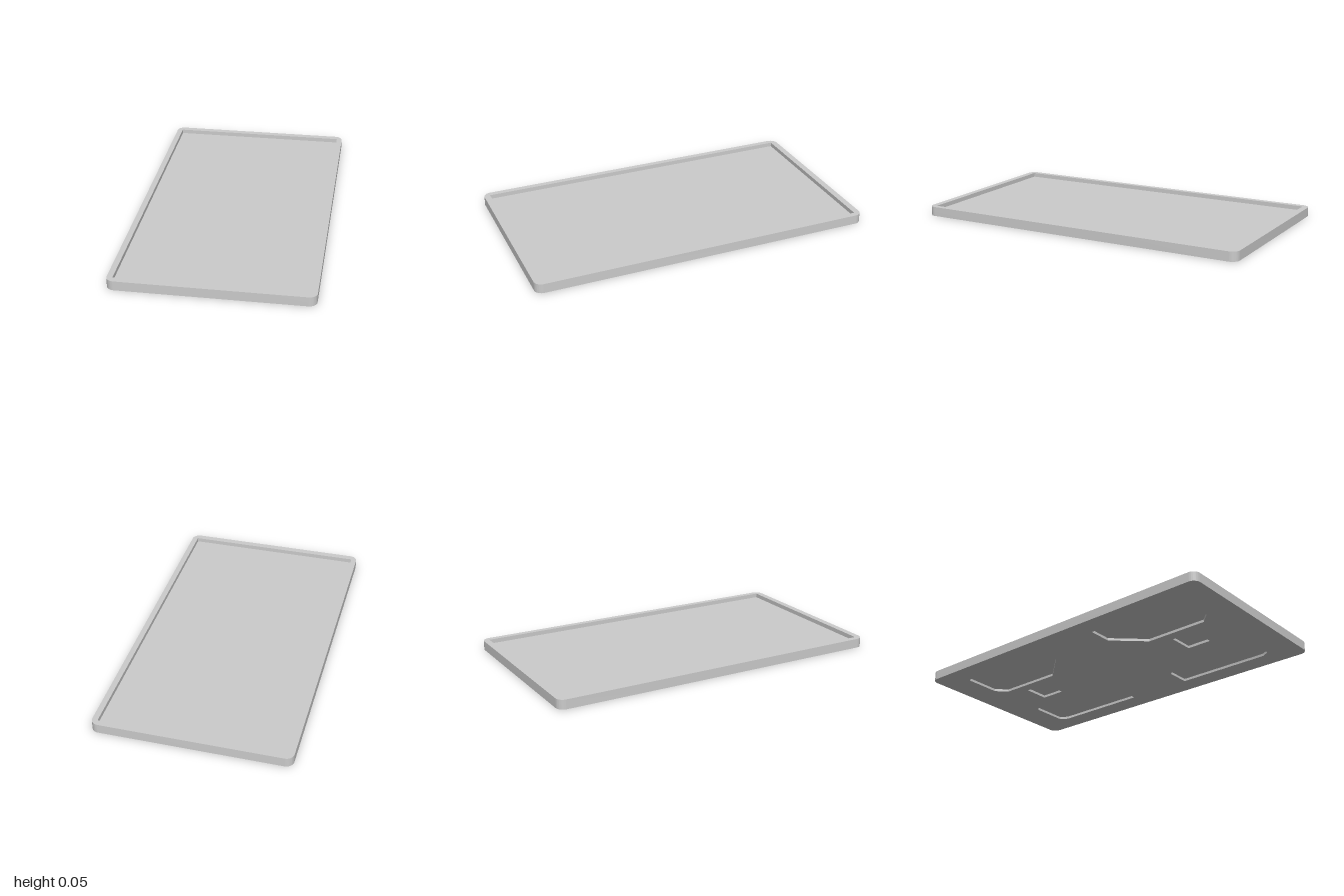
import * as THREE from 'three';
import { toCreasedNormals } from 'three/addons/utils/BufferGeometryUtils.js';

const HALF_X = 0.56, HALF_Z = 1, HEIGHT = 0.055, CORNER = 0.045;
const INNER_X = 0.527, INNER_Z = 0.963;   // sunken area inside the rim
const FLOOR_TOP = 0.03, POCKET_DEPTH = 0.015;

const material = new THREE.MeshStandardMaterial({ color: 0xcccccc });

// Shape y becomes z; the slab fills from y = bottom to y = top
function slab(name, shape, bottom, top) {
  let geometry = new THREE.ExtrudeGeometry(shape, { depth: top - bottom, bevelEnabled: false, curveSegments: 10 });
  geometry.rotateX(Math.PI / 2).translate(0, top, 0);
  geometry = toCreasedNormals(geometry, 0.6);
  const mesh = new THREE.Mesh(geometry, material);
  mesh.name = name;
  return mesh;
}

function polygon(points, Type = THREE.Path) {
  return new Type(points.map(([x, z]) => new THREE.Vector2(x, z)));
}

function rectangle(hx, hz, cz = 0, Type = THREE.Path) {
  return polygon([[-hx, cz - hz], [hx, cz - hz], [hx, cz + hz], [-hx, cz + hz]], Type);
}

function roundedRectangle(hx, hz, r) {
  const s = new THREE.Shape();
  s.absarc(hx - r, hz - r, r, 0, Math.PI / 2);
  s.absarc(-hx + r, hz - r, r, Math.PI / 2, Math.PI);
  s.absarc(-hx + r, -hz + r, r, Math.PI, Math.PI * 1.5);
  s.absarc(hx - r, -hz + r, r, Math.PI * 1.5, Math.PI * 2);
  s.closePath();
  return s;
}

export function createModel() {
  const group = new THREE.Group();
  group.name = 'tray';

  // Rounded rim around the whole tray
  const rim = roundedRectangle(HALF_X, HALF_Z, CORNER);
  rim.holes.push(rectangle(INNER_X, INNER_Z));
  group.add(slab('rim', rim, 0, HEIGHT));

  // Flat sunken floor
  const floor = rectangle(INNER_X, INNER_Z, 0, THREE.Shape);
  group.add(slab('floor', floor, POCKET_DEPTH, FLOOR_TOP));

  // Underside with four large mirrored pockets and two square ones
  const underside = rectangle(INNER_X, INNER_Z, 0, THREE.Shape);
  const pocket = [[0.44, 0.2], [0.44, 0.77], [0.415, 0.815], [0.2, 0.815], [0.14, 0.755], [0.14, 0.375], [0.3, 0.2]];
  for (const sz of [-1, 1]) {
    for (const sx of [-1, 1]) {
      underside.holes.push(polygon(pocket.map(([x, z]) => [x * sx, z * sz])));
    }
    underside.holes.push(rectangle(0.076, 0.075, sz * 0.57));
  }
  group.add(slab('underside', underside, 0, POCKET_DEPTH));

  return group;
}
